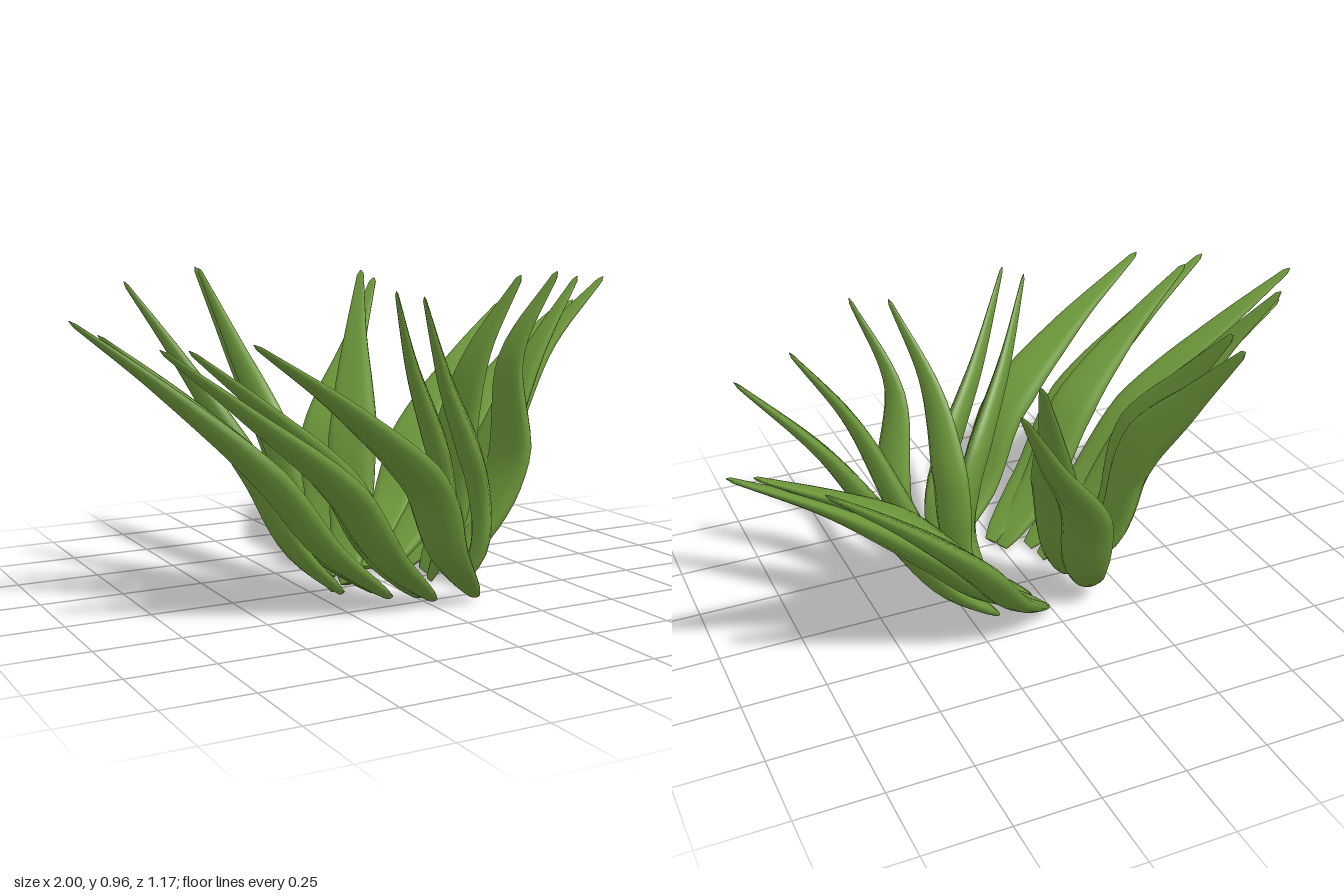
import * as THREE from 'three';

const green = new THREE.MeshStandardMaterial({ color: 0x6f9a3c, side: THREE.DoubleSide });

// Half width of a blade along its length, as [t, halfWidth]
const PROFILE = [[0, 0.025], [0.05, 0.05], [0.15, 0.074], [0.3, 0.092], [0.46, 0.096],
  [0.62, 0.073], [0.8, 0.042], [0.94, 0.021], [0.985, 0.014], [1, 0.003]];

function halfWidth(t) {
  const i = Math.max(1, PROFILE.findIndex(p => p[0] >= t - 1e-6));
  const [t0, w0] = PROFILE[i - 1], [t1, w1] = PROFILE[i];
  return w0 + (w1 - w0) * (t - t0) / (t1 - t0);
}

// Blade axis, swelling outward just above the base
function bladeCurve(points) {
  const [base, ...rest] = points.map(p => new THREE.Vector3(...p));
  const out = rest[0].clone().sub(base).setY(0).setLength(0.04);
  const low = base.clone().lerp(rest[0], 0.42).add(out);
  return new THREE.CatmullRomCurve3([base, low, ...rest]);
}

// One fleshy blade: a cupped lens section swept from base to tip
function bladeGeometry(points, yaw) {
  const curve = bladeCurve(points);
  const hint = new THREE.Vector3(yaw, 0, 1);
  // The cupped face looks back over the clump, against the sideways lean
  const face = points[3][0] > points[0][0] ? -1 : 1;
  const rows = 26, sides = 14, pos = [], idx = [];
  for (let r = 0; r <= rows; r++) {
    const t = r < rows - 3 ? r / (rows - 2) : [0.96, 0.985, 0.995, 1][r - rows + 3];
    const c = curve.getPointAt(t), tan = curve.getTangentAt(t);
    const side = hint.clone().addScaledVector(tan, -hint.dot(tan)).normalize();
    const normal = new THREE.Vector3().crossVectors(tan, side);
    const w = halfWidth(t), thick = w * 0.38;
    for (let s = 0; s < sides; s++) {
      const a = s / sides * Math.PI * 2, u = Math.cos(a), h = Math.sin(a);
      const cup = face * w * 0.18 * (u * u - 0.5);
      const p = c.clone().addScaledVector(side, w * u).addScaledVector(normal, cup - thick * h);
      pos.push(p.x, Math.max(p.y, 0), p.z);
    }
  }
  // Skin between sections, then the end caps
  for (let r = 0; r < rows; r++) for (let s = 0; s < sides; s++) {
    const a = r * sides + s, b = r * sides + (s + 1) % sides;
    idx.push(a, b, a + sides, b, b + sides, a + sides);
  }
  const end = rows * sides;
  for (let s = 1; s < sides - 1; s++) idx.push(0, s + 1, s, end, end + s, end + s + 1);
  const g = new THREE.BufferGeometry();
  g.setAttribute('position', new THREE.Float32BufferAttribute(pos, 3));
  g.setIndex(idx);
  g.computeVertexNormals();
  return g;
}

// Blades: yaw of the width axis, then base, middle, upper and tip points
const RIGHT = [
  [0.1, [-0.08, 0.015, 0.18], [-0.48, 0.42, 0.21], [-0.76, 0.67, 0.18], [-1, 0.86, 0.14]],
  [0, [-0.09, 0.015, 0.1], [-0.43, 0.4, 0.09], [-0.67, 0.63, 0.06], [-0.89, 0.81, 0.03]],
  [0.2, [0.02, 0.015, 0.26], [-0.36, 0.41, 0.42], [-0.64, 0.63, 0.47], [-0.88, 0.81, 0.49]],
  [0.2, [0, 0.015, 0.21], [-0.33, 0.42, 0.34], [-0.57, 0.63, 0.41], [-0.79, 0.8, 0.45]],
  [0.3, [0.14, 0.02, 0.3], [-0.1, 0.39, 0.43], [-0.37, 0.62, 0.51], [-0.67, 0.82, 0.575]],
  [-0.1, [-0.18, 0.015, 0.07], [-0.43, 0.38, 0.04], [-0.61, 0.71, -0.07], [-0.74, 0.94, -0.19]],
  [-0.1, [-0.18, 0.015, 0.01], [-0.3, 0.45, -0.13], [-0.345, 0.72, -0.35], [-0.38, 0.96, -0.56]],
  [-0.1, [-0.19, 0.015, 0.05], [-0.32, 0.45, -0.05], [-0.37, 0.72, -0.25], [-0.41, 0.96, -0.45]],
];
const FRONT = [
  [-0.6, [0.18, 0.015, 0.17], [0.22, 0.33, 0.21], [0.03, 0.67, 0.32], [-0.1, 0.91, 0.42]],
  [-0.55, [0.13, 0.015, 0.07], [0.16, 0.36, 0.1], [-0.02, 0.7, 0.22], [-0.125, 0.92, 0.31]],
];
const LEFT = [
  [0.45, [-0.14, 0.015, -0.09], [-0.02, 0.43, -0.34], [0.15, 0.69, -0.48], [0.28, 0.91, -0.575]],
  [0.35, [-0.12, 0.015, 0], [0.01, 0.43, -0.21], [0.1, 0.7, -0.37], [0.19, 0.94, -0.5]],
  [0.35, [0.02, 0.015, -0.15], [0.36, 0.4, -0.41], [0.6, 0.64, -0.51], [0.8, 0.81, -0.575]],
  [0.2, [0.04, 0.015, -0.12], [0.46, 0.4, -0.28], [0.73, 0.64, -0.36], [1, 0.82, -0.41]],
  [0.2, [0.04, 0.015, -0.07], [0.41, 0.4, -0.2], [0.66, 0.62, -0.32], [0.93, 0.8, -0.4]],
  [0.1, [0.17, 0.015, -0.13], [0.48, 0.38, -0.12], [0.67, 0.68, -0.13], [0.89, 0.92, -0.09]],
  [0, [0.18, 0.015, -0.06], [0.42, 0.4, -0.02], [0.54, 0.68, 0.01], [0.71, 0.93, 0.01]],
  [0.05, [0.2, 0.015, 0.02], [0.4, 0.38, 0.1], [0.37, 0.7, 0.15], [0.46, 0.96, 0.25]],
  [0.1, [0.16, 0.015, -0.02], [0.25, 0.42, 0.02], [0.27, 0.7, 0.11], [0.35, 0.95, 0.22]],
];

export function createModel() {
  const plant = new THREE.Group();
  plant.name = 'leafClump';
  const groups = { rightLeaves: RIGHT, frontLeaves: FRONT, leftLeaves: LEFT };
  for (const [name, blades] of Object.entries(groups)) {
    const group = new THREE.Group();
    group.name = name;
    blades.forEach(([yaw, ...points], i) => {
      const leaf = new THREE.Mesh(bladeGeometry(points, yaw), green);
      leaf.name = `leaf${i + 1}`;
      group.add(leaf);
    });
    plant.add(group);
  }
  return plant;
}
